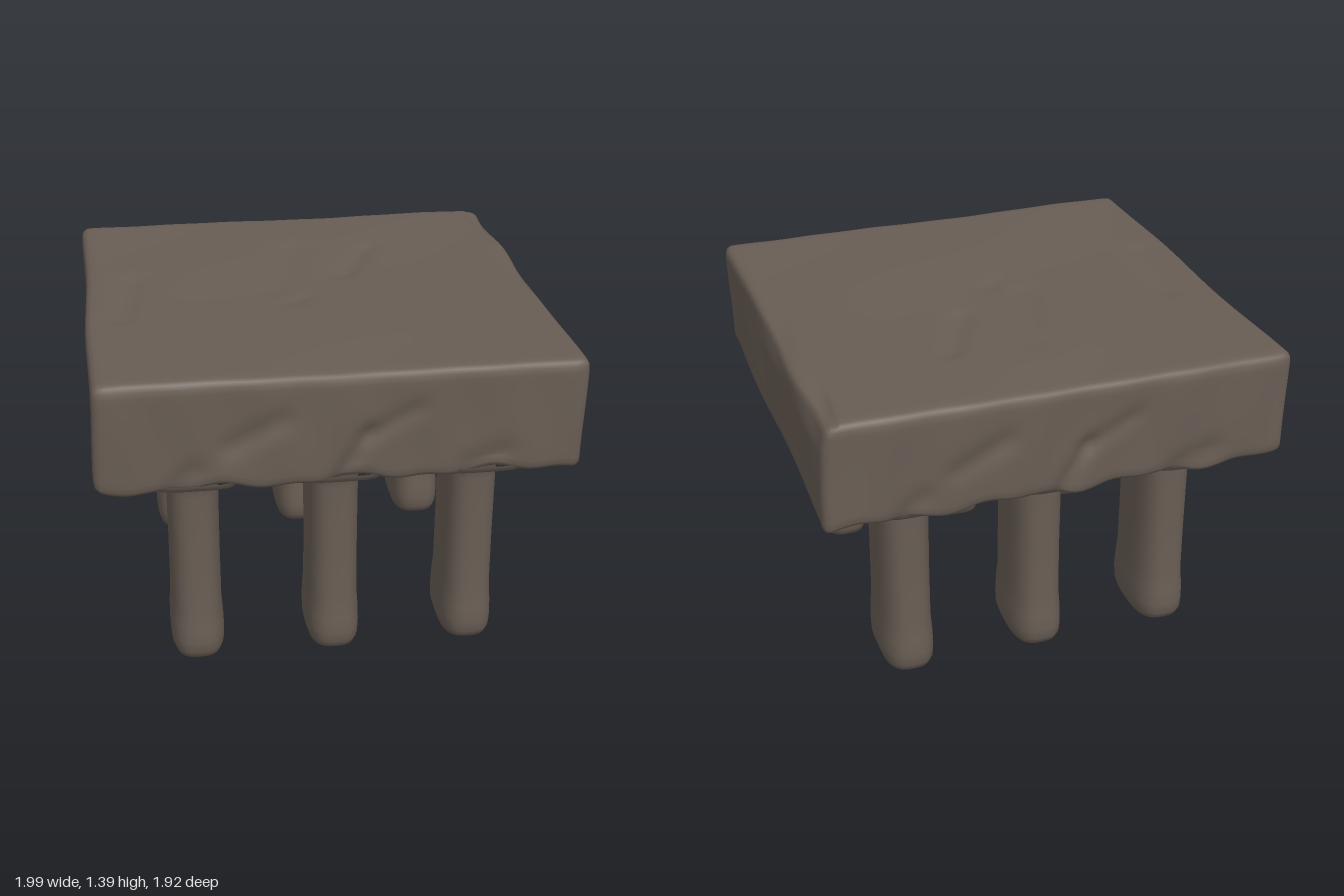
import * as THREE from 'three';
import { mergeVertices } from 'three/addons/utils/BufferGeometryUtils.js';

const stone = new THREE.MeshStandardMaterial({ color: 0x685d54 });
stone.name = 'brownStone';

const bell = (d, w) => Math.exp(-(d * d) / (w * w));

// Soft dent along a segment from (ax, ay) to (bx, by)
function groove(x, y, [ax, ay, bx, by, width, depth]) {
  const dx = bx - ax, dy = by - ay;
  const t = THREE.MathUtils.clamp(((x - ax) * dx + (y - ay) * dy) / (dx * dx + dy * dy), 0, 1);
  return depth * bell(Math.hypot(x - ax - t * dx, y - ay - t * dy), width);
}

// Weld seams so the stone shades smoothly
function smooth(geometry) {
  geometry.deleteAttribute('normal');
  geometry.deleteAttribute('uv');
  const welded = mergeVertices(geometry, 1e-4);
  welded.computeVertexNormals();
  return welded;
}

const topGrooves = [
  [0.18, -0.16, 0.32, -0.48, 0.05, 0.015], [-0.84, 0.25, -0.78, -0.2, 0.06, 0.012],
  [-0.1, 0.16, -0.04, 0.1, 0.05, 0.01], [-0.15, 0, -0.02, -0.5, 0.08, 0.01],
];
const frontGrooves = [
  [-0.02, 0.93, 0.1, 1.12, 0.035, 0.02], [0.1, 1.12, 0.3, 1.22, 0.04, 0.012],
  [-0.45, 1.1, -0.25, 1.2, 0.05, 0.015], [-0.68, 0.93, -0.6, 1, 0.05, 0.015],
  [0.5, 0.95, 0.65, 1, 0.05, 0.015],
];

// Worn slab with rounded edges, shallow dents and a ragged lower rim
function slabGeometry() {
  const hx = 0.99, hy = 0.238, hz = 0.96, r = 0.04, midY = 1.152;
  const g = smooth(new THREE.BoxGeometry(2 * hx, 2 * hy, 2 * hz, 72, 18, 72));
  const pos = g.attributes.position;
  const p = new THREE.Vector3(), inner = new THREE.Vector3();
  const limit = new THREE.Vector3(hx - r, hy - r, hz - r);
  for (let i = 0; i < pos.count; i++) {
    p.fromBufferAttribute(pos, i);
    inner.copy(p).clamp(limit.clone().negate(), limit);
    p.sub(inner).setLength(r).add(inner);
    const { x, z } = p, up = p.y / hy, y = p.y + midY;

    // Top surface
    if (up > 0.9) {
      p.y += 0.004 * Math.sin(5 * x + 2 * z) * Math.sin(4 * z - x) - 0.006 * bell(z, 0.4);
      for (const s of topGrooves) p.y -= groove(x, z, s);
    }
    // Front and back faces
    if (Math.abs(z) > 0.9) {
      const side = Math.sign(z);
      let dent = 0.004 * (1 + Math.sin(13 * x + side) * Math.sin(7 * x + 9 * y));
      for (const s of frontGrooves) dent += groove(x * side, y, s);
      p.z -= side * dent;
      if (up < -0.7) p.y += 0.012 * Math.sin(11 * x + side) + 0.008 * Math.sin(23 * x);
    }
    // Sides, with one eroded upper edge
    if (Math.abs(x) > 0.92) {
      p.x += 0.006 * Math.sin(5 * z) * Math.sin(8 * y);
      if (x > 0 && up > 0.5) {
        const wear = bell(z + 0.75, 0.2) + 0.8 * bell(z + 0.1, 0.25);
        p.x -= 0.03 * wear * (up - 0.5) * 2;
        if (up > 0.9) p.y -= 0.015 * wear;
      }
    }
    pos.setXYZ(i, p.x, p.y + midY, p.z);
  }
  g.computeVertexNormals();
  return g;
}

// Column with a superellipse cross-section; profile rows are [scale, y]
function columnGeometry(profile, halfX, halfZ, power) {
  const points = profile.map(([s, y]) => new THREE.Vector2(s, y));
  const g = smooth(new THREE.LatheGeometry(points, 40));
  const pos = g.attributes.position;
  for (let i = 0; i < pos.count; i++) {
    const x = pos.getX(i), z = pos.getZ(i), len = Math.hypot(x, z);
    if (len < 1e-6) continue;
    const c = Math.abs(x / len), s = Math.abs(z / len);
    const k = 1 / Math.pow(c ** power + s ** power, 1 / power);
    pos.setX(i, x * k * halfX);
    pos.setZ(i, z * k * halfZ);
  }
  g.computeVertexNormals();
  return g;
}

export function createModel() {
  const group = new THREE.Group();
  const add = (name, geometry, x = 0, z = 0) => {
    const mesh = new THREE.Mesh(geometry, stone);
    mesh.name = name;
    mesh.position.set(x, 0, z);
    group.add(mesh);
    return mesh;
  };

  add('slab', slabGeometry());

  const leg = columnGeometry([
    [0, 0], [0.78, 0.002], [0.93, 0.015], [1.03, 0.05], [1.05, 0.1], [1.03, 0.17],
    [0.98, 0.25], [0.97, 0.5], [0.98, 0.8], [1.02, 0.86], [1.15, 0.9],
  ], 0.11, 0.205, 3);
  const collar = columnGeometry([
    [0, 0.872], [0.55, 0.872], [0.7, 0.88], [0.88, 0.898], [0.98, 0.915], [1, 0.94],
  ], 0.2, 0.35, 5);

  // Two rows of three legs, each under a spreading collar
  for (const [row, legZ, collarZ] of [['front', 0.595, 0.605], ['back', -0.54, -0.585]]) {
    [-0.59, 0, 0.59].forEach((x, i) => {
      const place = ['Right', 'Middle', 'Left'][i];
      add(`${row}${place}Leg`, leg, x, legZ);
      add(`${row}${place}Collar`, collar, x, collarZ);
    });
  }
  return group;
}
